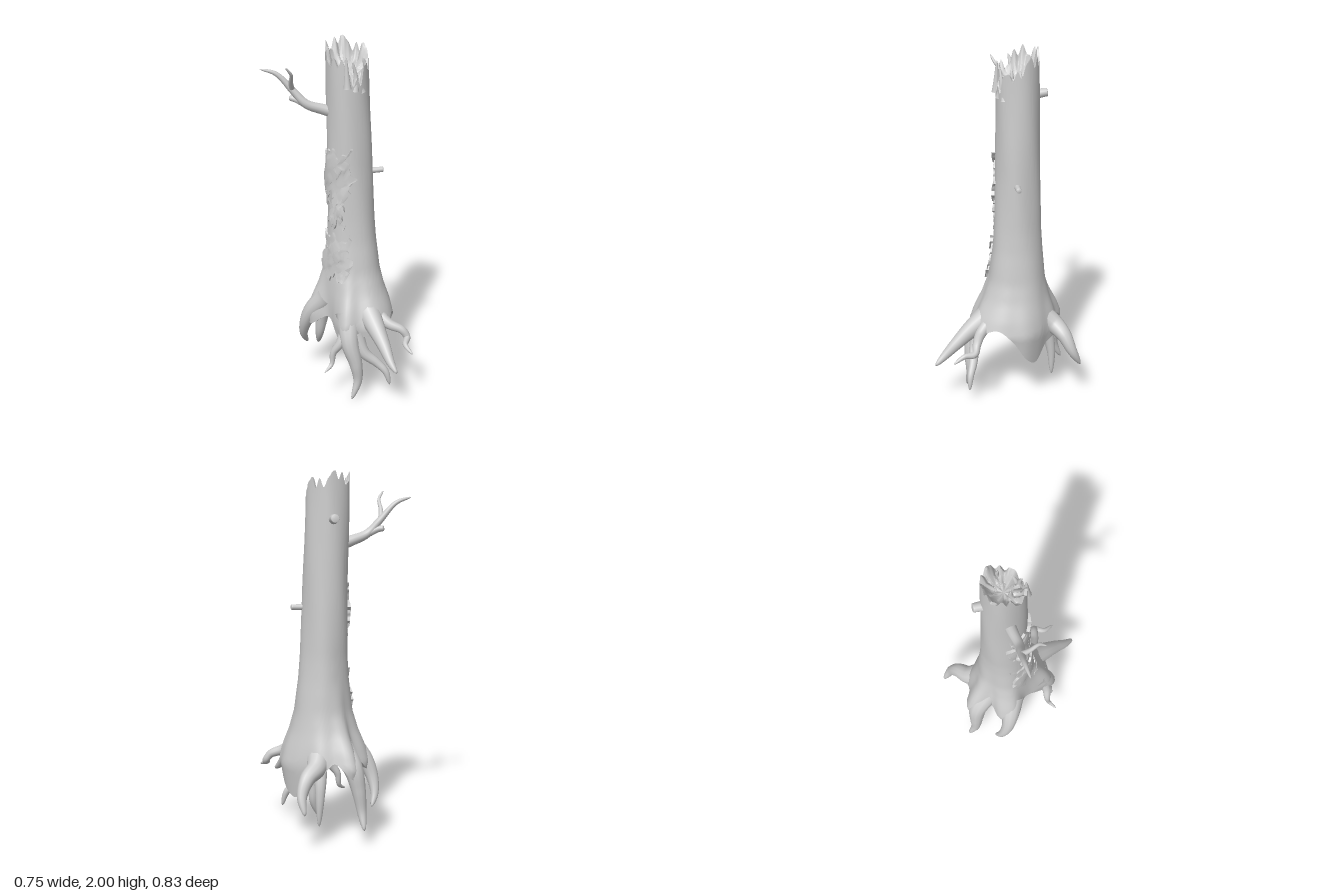
import * as THREE from 'three';
import { mergeVertices, toCreasedNormals } from 'three/addons/utils/BufferGeometryUtils.js';

const { sin, cos, PI, min, max, floor, exp } = Math;
const rad = (d) => d * PI / 180;
const lerp = THREE.MathUtils.lerp;

// trunk axis and radius by height: y, centre x, centre z, radius
const AXIS = [[0.2, 0.03, -0.08, 0.17], [0.7, 0.035, -0.085, 0.15], [1.0, 0.03, -0.086, 0.13],
  [1.3, 0.027, -0.095, 0.123], [1.6, 0.02, -0.098, 0.119], [2.0, 0.015, -0.1, 0.114]];
// amount of root flare by height
const FLARE = [[0.42, 1], [0.5, 0.76], [0.6, 0.36], [0.7, 0.1], [0.88, 0]];
// flared outline and lower edge, every 20 degrees from +x towards +z
const BASE_R = [0.23, 0.24, 0.235, 0.25, 0.262, 0.265, 0.228, 0.25, 0.19, 0.155, 0.165, 0.25, 0.255, 0.215, 0.31, 0.255, 0.25, 0.225];
const EDGE_Y = [0.24, 0.28, 0.40, 0.46, 0.43, 0.38, 0.36, 0.29, 0.36, 0.42, 0.42, 0.35, 0.38, 0.46, 0.36, 0.45, 0.37, 0.33];

function table(rows, y) {
  if (y <= rows[0][0]) return rows[0].slice(1);
  for (let i = 1; i < rows.length; i++) {
    const a = rows[i - 1], b = rows[i];
    if (y <= b[0]) return a.slice(1).map((v, k) => lerp(v, b[k + 1], (y - a[0]) / (b[0] - a[0])));
  }
  return rows[rows.length - 1].slice(1);
}

// smooth cyclic lookup by angle
function around(list, a) {
  const n = list.length, f = ((a / (2 * PI)) % 1 + 1) % 1 * n, i = floor(f), t = f - i;
  const [p, q, r, s] = [-1, 0, 1, 2].map((k) => list[(i + k + n) % n]);
  return q + 0.5 * t * (r - p + t * (2 * p - 5 * q + 4 * r - s + t * (3 * (q - r) + s - p)));
}

// point on the trunk skin; k scales the radius, off pushes outwards
function skin(a, y, k = 1, off = 0, height = y) {
  const [cx, cz, r] = table(AXIS, y);
  const [w] = table(FLARE, y);
  const tuck = 1 - 0.6 * max(0, 0.42 - y);
  const bump = 1 + 0.015 * sin(3 * a + 4 * y) + 0.012 * sin(5 * a - 7 * y) + 0.01 * sin(9 * y + a);
  const R = (lerp(r * bump, around(BASE_R, a) * tuck, w) + off) * k;
  return [lerp(cx, 0.02, w) + R * cos(a), height, lerp(cz, -0.07, w) + R * sin(a)];
}

// broken upper edge: high at the back, notched at the front
function rim(a) {
  const jag = 0.026 * sin(5 * a + 1) + 0.02 * sin(11 * a) + 0.016 * sin(17 * a + 2);
  const notch = 0.07 * exp(-(((a - rad(100)) / 0.4) ** 2));
  return min(2, 1.915 - 0.055 * sin(a) + 0.015 * cos(a) + jag - notch);
}

// surface from rows of points
function sheet(rows, closed) {
  const n = rows[0].length, index = [];
  for (let i = 0; i < rows.length - 1; i++) {
    for (let j = 0; j < (closed ? n : n - 1); j++) {
      const a = i * n + j, b = i * n + (j + 1) % n;
      index.push(a, a + n, b, b, a + n, b + n);
    }
  }
  const g = new THREE.BufferGeometry();
  g.setAttribute('position', new THREE.Float32BufferAttribute(rows.flat(2), 3));
  g.setIndex(index);
  return toCreasedNormals(g, 0.8);
}

function trunkGeometry() {
  const N = 96, H = 44, rows = [];
  const ring = (f) => rows.push(Array.from({ length: N }, (_, j) => f(j / N * 2 * PI)));
  // hollow underside
  ring((a) => skin(a, 0.42, 0.001, 0, 0.53));
  ring((a) => skin(a, 0.42, 0.45, 0, 0.51));
  ring((a) => skin(a, 0.42, 0.75, 0, lerp(around(EDGE_Y, a), 0.5, 0.6)));
  ring((a) => skin(a, around(EDGE_Y, a), 0.9, 0, around(EDGE_Y, a) + 0.01));
  // outer wall
  for (let i = 0; i <= H; i++) {
    ring((a) => skin(a, lerp(around(EDGE_Y, a), rim(a), (i / H) ** 1.25)));
  }
  // broken top
  for (const [k, t] of [[0.88, 0.12], [0.76, 0.6], [0.5, 0.9], [0.25, 1], [0.001, 1]]) {
    ring((a) => skin(a, 1.9, k, 0, lerp(rim(a), 1.83 - 0.03 * k * sin(a), t) + 0.014 * k * sin(7 * a + 9 * k)));
  }
  return sheet(rows, true);
}

// tapering, round-ended limb along a smooth path
function limb(points, r0, r1, blunt = 12) {
  const S = 36, R = 12;
  const curve = new THREE.CatmullRomCurve3(points.map((p) => new THREE.Vector3(...p)));
  const g = new THREE.TubeGeometry(curve, S, 1, R);
  const pos = g.attributes.position, v = new THREE.Vector3();
  for (let i = 0; i <= S; i++) {
    const t = i / S, c = curve.getPointAt(t);
    const r = lerp(r0, r1, t ** 0.8) * Math.sqrt(max(0, 1 - t ** blunt));
    for (let j = 0; j <= R; j++) {
      const k = i * (R + 1) + j;
      v.fromBufferAttribute(pos, k).sub(c).multiplyScalar(r).add(c);
      pos.setXYZ(k, v.x, v.y, v.z);
    }
  }
  g.deleteAttribute('uv');
  g.deleteAttribute('normal');
  const m = mergeVertices(g, 1e-5);
  m.computeVertexNormals();
  return m;
}

// raised plate of loose bark with ragged edges
function barkPlate(a0, a1, y0, y1, seed) {
  const U = 20, V = 30, rows = [];
  for (let i = 0; i <= V; i++) {
    const v = min(1, max(0, (i - 1) / (V - 2))), row = [];
    for (let j = 0; j <= U; j++) {
      const u = min(1, max(0, (j - 1) / (U - 2)));
      const border = i === 0 || j === 0 || i === V || j === U;
      const rag = (s) => 0.1 * sin(v * 9 + s) + 0.07 * sin(v * 23 + 2 * s) + 0.04 * sin(v * 41 + s);
      const a = lerp(rad(a0), rad(a1), lerp(rag(seed), 1 + rag(seed + 3), u));
      const y = lerp(y0, y1, v) + 0.02 * sin(u * 11 + seed) + 0.014 * sin(u * 25 + seed);
      row.push(skin(a, y, 1, border ? -0.006 : 0.014 + 0.005 * sin(6 * v + 4 * u + seed)));
    }
    rows.push(row);
  }
  return sheet(rows, false);
}

const ROOTS = {
  frontRoot: [[[0, 0.5, 0.08], [-0.03, 0.43, 0.19], [-0.05, 0.36, 0.28], [-0.07, 0.29, 0.36], [-0.075, 0.25, 0.415]], 0.075, 0.016],
  longFrontRoot: [[[-0.09, 0.48, 0.03], [-0.135, 0.34, 0.09], [-0.122, 0.21, 0.128], [-0.115, 0.11, 0.135], [-0.155, 0, 0.13]], 0.075, 0.015],
  rightRoot: [[[-0.12, 0.42, 0.05], [-0.17, 0.33, 0.05], [-0.2, 0.27, 0.025], [-0.215, 0.2, 0.025], [-0.27, 0.17, 0.03]], 0.04, 0.007],
  innerFrontRoot: [[[-0.09, 0.38, 0.09], [-0.07, 0.27, 0.14], [-0.02, 0.21, 0.19], [0.01, 0.16, 0.23], [0.025, 0.08, 0.25]], 0.045, 0.013],
  curledRoot: [[[0.04, 0.48, 0.12], [0.06, 0.43, 0.2], [0.105, 0.4, 0.26], [0.12, 0.36, 0.285], [0.075, 0.34, 0.32], [0.065, 0.31, 0.39]], 0.04, 0.01],
  leftRoot: [[[0.12, 0.5, -0.14], [0.21, 0.43, -0.21], [0.29, 0.385, -0.22], [0.345, 0.3, -0.235], [0.367, 0.21, -0.28]], 0.08, 0.016],
  backRoot: [[[0.04, 0.52, -0.21], [0.045, 0.42, -0.32], [0.035, 0.3, -0.355], [0.03, 0.18, -0.375], [0.05, 0.085, -0.415]], 0.08, 0.016],
  backRightRoot: [[[-0.08, 0.52, -0.16], [-0.135, 0.42, -0.24], [-0.15, 0.33, -0.285], [-0.135, 0.24, -0.32], [-0.095, 0.17, -0.335]], 0.075, 0.013],
  innerBackRoot: [[[0.13, 0.46, -0.15], [0.17, 0.35, -0.2], [0.188, 0.25, -0.215], [0.195, 0.1, -0.215]], 0.05, 0.012],
};

const LIMBS = {
  branch: [[[-0.03, 1.6, -0.13], [-0.1, 1.625, -0.17], [-0.18, 1.66, -0.21], [-0.23, 1.73, -0.255], [-0.3, 1.825, -0.31], [-0.375, 1.855, -0.355]], 0.036, 0.009],
  branchFork: [[[-0.235, 1.74, -0.26], [-0.265, 1.79, -0.23], [-0.29, 1.84, -0.195], [-0.33, 1.885, -0.19]], 0.016, 0.006],
  branchKnob: [[[-0.19, 1.665, -0.22], [-0.22, 1.685, -0.255], [-0.235, 1.69, -0.283]], 0.02, 0.016, 30],
  leftStub: [[[0.09, 1.27, -0.035], [0.13, 1.27, -0.008], [0.175, 1.272, 0.02]], 0.018, 0.015, 60],
  backStub: [[[0.05, 1.74, -0.17], [0.08, 1.75, -0.21], [0.1, 1.755, -0.24]], 0.03, 0.023, 60],
};

// upright splinters in the broken top: x, z, foot y, tip y
const SPLINTERS = [[-0.06, -0.01, 1.76, 1.93], [-0.015, 0.0, 1.74, 1.9], [0.03, 0.002, 1.73, 1.85],
  [0.095, -0.045, 1.78, 1.9], [-0.02, -0.08, 1.78, 1.88]];

export function createModel() {
  const group = new THREE.Group();
  const wood = new THREE.MeshStandardMaterial({ color: 0xcccccc });
  const thin = new THREE.MeshStandardMaterial({ color: 0xcccccc, side: THREE.DoubleSide });
  const add = (name, geometry, material = wood) => {
    const mesh = new THREE.Mesh(geometry, material);
    mesh.name = name;
    group.add(mesh);
  };

  add('trunk', trunkGeometry(), thin);
  for (const [name, args] of Object.entries({ ...ROOTS, ...LIMBS })) add(name, limb(...args));
  SPLINTERS.forEach(([x, z, y0, y1], i) => {
    const lean = 0.012 * sin(i * 2.3);
    add('splinter', limb([[x, y0, z], [x + lean, (y0 + y1) / 2, z - 0.006], [x - lean, y1, z - 0.01]], 0.022, 0.005));
  });

  // loose bark on the model's right side
  add('upperBark', barkPlate(130, 212, 1.12, 1.4, 1), thin);
  add('hangingBark', barkPlate(150, 185, 0.99, 1.16, 4), thin);
  add('lowerBark', barkPlate(138, 205, 0.68, 0.91, 2), thin);
  return group;
}
